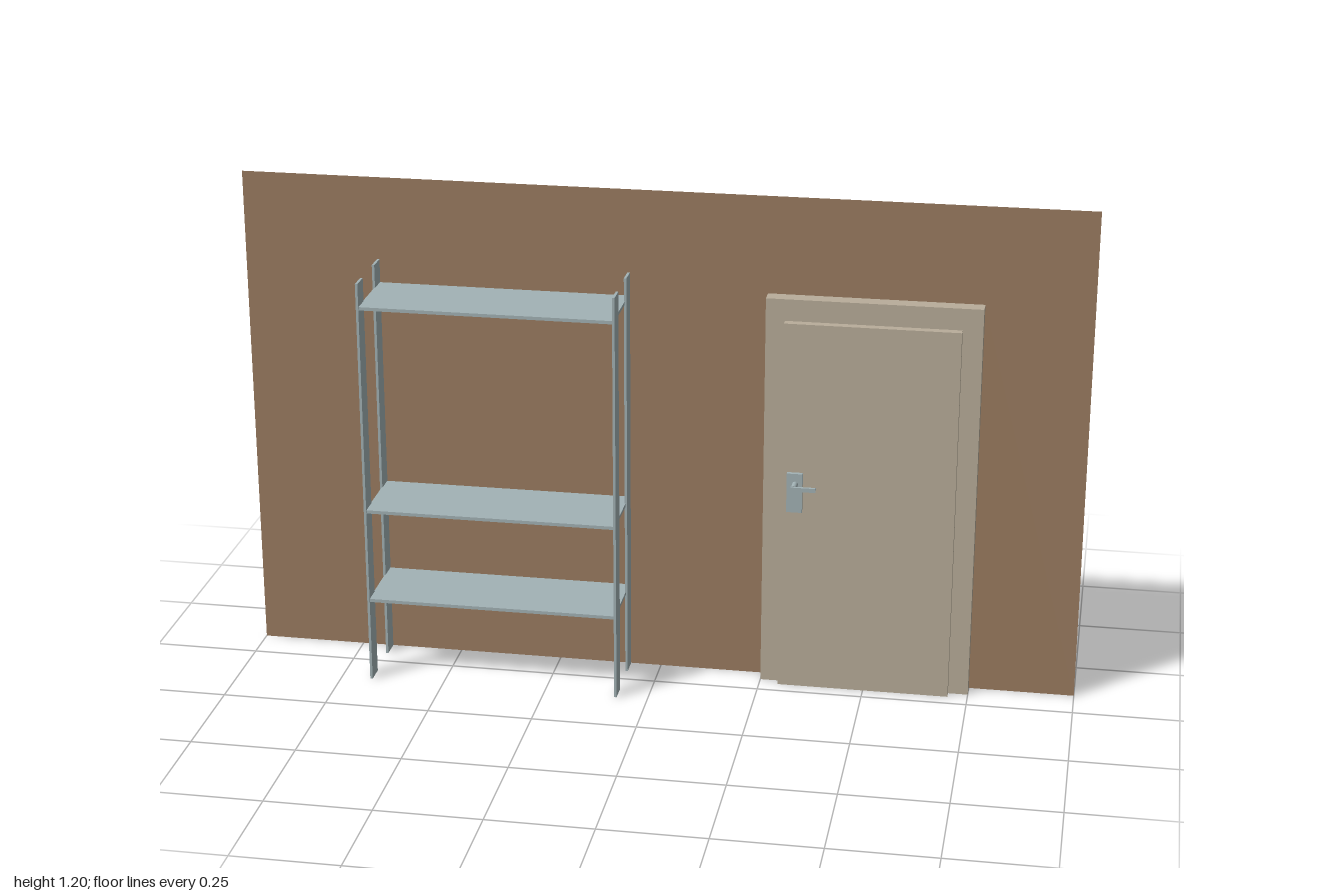
import * as THREE from 'three';

export function createModel() {
  const model = new THREE.Group();
  const wallPaint = new THREE.MeshStandardMaterial({ name: 'brown wall', color: 0x9b7c60, side: THREE.DoubleSide });
  const doorPaint = new THREE.MeshStandardMaterial({ name: 'beige door', color: 0xb8ad9a, side: THREE.DoubleSide });
  const metal = new THREE.MeshStandardMaterial({ name: 'blue grey metal', color: 0xa2b2b5 });

  const add = (parent, name, geometry, material) => {
    const mesh = new THREE.Mesh(geometry, material);
    mesh.name = name;
    parent.add(mesh);
    return mesh;
  };
  // Box given by its lower and upper limits on each axis
  const box = (parent, name, material, [x0, x1], [y0, y1], [z0, z1]) => {
    const mesh = add(parent, name, new THREE.BoxGeometry(x1 - x0, y1 - y0, z1 - z0), material);
    mesh.position.set((x0 + x1) / 2, (y0 + y1) / 2, (z0 + z1) / 2);
    return mesh;
  };
  const group = (name) => {
    const g = new THREE.Group();
    g.name = name;
    model.add(g);
    return g;
  };

  // Thin wall with a doorway cut up from the floor
  const doorway = { left: 0.25, right: 0.75, top: 0.967 };
  const outline = new THREE.Shape([
    [-1, 0], [doorway.left, 0], [doorway.left, doorway.top], [doorway.right, doorway.top],
    [doorway.right, 0], [1, 0], [1, 1.2], [-1, 1.2],
  ].map(([x, y]) => new THREE.Vector2(x, y)));
  add(model, 'wall', new THREE.ShapeGeometry(outline), wallPaint).position.z = -0.0925;

  // Door casing: a sheet front with sides and head, open at the back and floor
  const door = group('door');
  const zBack = -0.103, zFront = -0.055;
  const depth = zFront - zBack, zMid = (zFront + zBack) / 2;
  const width = doorway.right - doorway.left, xMid = (doorway.right + doorway.left) / 2;
  add(door, 'casingFront', new THREE.PlaneGeometry(width, doorway.top), doorPaint)
    .position.set(xMid, doorway.top / 2, zFront);
  for (const side of [-1, 1]) {
    const jamb = add(door, side < 0 ? 'rightJamb' : 'leftJamb', new THREE.PlaneGeometry(depth, doorway.top), doorPaint);
    jamb.rotation.y = side * Math.PI / 2;
    jamb.position.set(xMid + side * width / 2, doorway.top / 2, zMid);
  }
  const head = add(door, 'casingHead', new THREE.PlaneGeometry(width, depth), doorPaint);
  head.rotation.x = -Math.PI / 2;
  head.position.set(xMid, doorway.top, zMid);
  box(door, 'doorLeaf', doorPaint, [0.295, 0.703], [0, 0.915], [zFront, -0.035]);

  // Handle: backplate, round spindle and lever
  const handle = group('doorHandle');
  box(handle, 'backplate', metal, [0.309, 0.346], [0.453, 0.55], [-0.035, -0.025]);
  const spindle = add(handle, 'spindle', new THREE.CylinderGeometry(0.007, 0.007, 0.03, 12), metal);
  spindle.rotation.x = Math.PI / 2;
  spindle.position.set(0.329, 0.524, -0.011);
  box(handle, 'lever', metal, [0.322, 0.381], [0.519, 0.529], [0.002, 0.009]);

  // Shelving: four flat uprights and three boards
  const shelving = group('shelving');
  for (const x of [-0.677, -0.077])
    for (const [z0, z1] of [[-0.0925, -0.045], [0.056, 0.103]])
      box(shelving, 'upright', metal, [x - 0.003, x + 0.003], [0, 1], [z0, z1]);
  for (const y of [0.206, 0.435, 0.94])
    box(shelving, 'shelfBoard', metal, [-0.676, -0.078], [y - 0.004, y + 0.004], [-0.091, 0.101]);

  return model;
}
